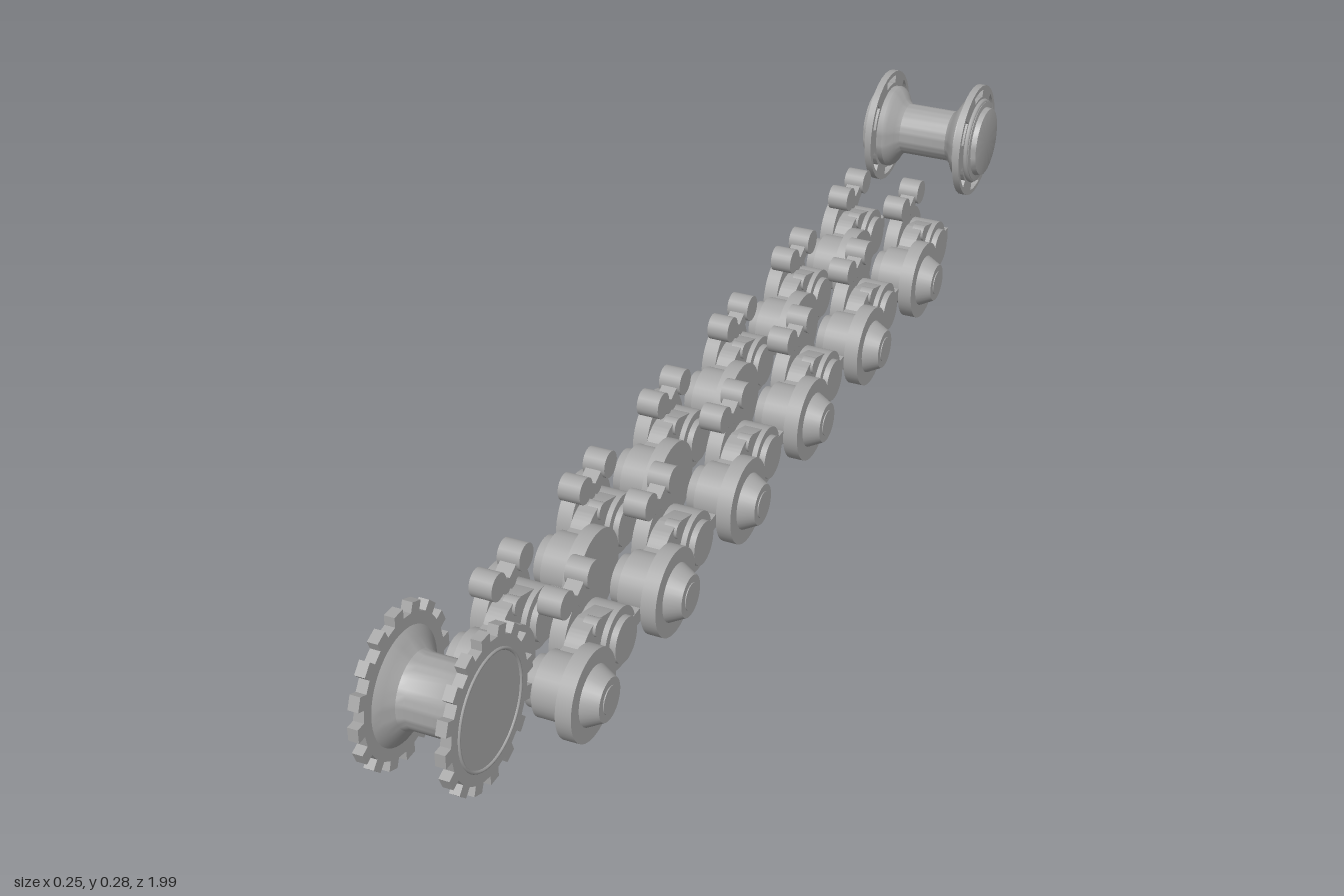
import * as THREE from 'three';
import { toCreasedNormals } from 'three/addons/utils/BufferGeometryUtils.js';

const steel = new THREE.MeshStandardMaterial({ color: 0xa6a6a6 });
steel.name = 'grey steel';

function add(parent, name, geometry, x = 0, y = 0, z = 0) {
  const mesh = new THREE.Mesh(geometry, steel);
  mesh.name = name;
  mesh.position.set(x, y, z);
  parent.add(mesh);
  return mesh;
}

// Cylinder lying along x between x0 and x1
function axle(parent, name, x0, x1, r0, r1, y, z, sides = 32) {
  const g = new THREE.CylinderGeometry(r1, r0, x1 - x0, sides).rotateZ(-Math.PI / 2);
  return add(parent, name, g, (x0 + x1) / 2, y, z);
}

// Turned solid around the x axis, points are [x, radius]
function turned(points) {
  const g = new THREE.LatheGeometry(points.map(([x, r]) => new THREE.Vector2(r, x)), 48);
  return toCreasedNormals(g.rotateZ(-Math.PI / 2), 0.6);
}

// Outline in (z, y) extruded along x, centred on x = 0
function plate(shape, width) {
  const g = new THREE.ExtrudeGeometry(shape, { depth: width, bevelEnabled: false, curveSegments: 16 });
  return toCreasedNormals(g.translate(0, 0, -width / 2).rotateY(-Math.PI / 2).scale(1, 1, 1), 0.6);
}

// Closed toothed outline with blocky teeth
function toothedShape(teeth, root, tip) {
  const shape = new THREE.Shape();
  const step = (Math.PI * 2) / teeth;
  for (let i = 0; i < teeth; i++) {
    const profile = [[-0.27, root], [-0.23, tip], [0.23, tip], [0.27, root]];
    profile.forEach(([t, r], j) => {
      const a = (i + t) * step;
      const p = [Math.cos(a) * r, Math.sin(a) * r];
      if (i + j === 0) shape.moveTo(...p); else shape.lineTo(...p);
    });
  }
  shape.closePath();
  return shape;
}

// Disc with six curved slots
function slottedShape(radius, inner, outer) {
  const shape = new THREE.Shape().absarc(0, 0, radius, 0, Math.PI * 2);
  for (let i = 0; i < 6; i++) {
    const a = Math.PI / 2 + (i * Math.PI) / 3, half = 0.25;
    const slot = new THREE.Path();
    slot.absarc(0, 0, outer, a - half, a + half, false);
    slot.absarc(0, 0, inner, a + half, a - half, true);
    slot.closePath();
    shape.holes.push(slot);
  }
  return shape;
}

function makeSprocket() {
  const g = new THREE.Group();
  g.name = 'driveSprocket';
  add(g, 'sprocketHub', turned([
    [-0.062, 0], [-0.062, 0.088], [-0.053, 0.08], [-0.045, 0.066], [-0.035, 0.053], [-0.025, 0.05],
    [0.025, 0.05], [0.035, 0.053], [0.045, 0.066], [0.053, 0.08], [0.062, 0.088], [0.062, 0]]));
  for (const s of [-1, 1]) {
    add(g, 'toothedDisc', plate(toothedShape(16, 0.096, 0.11), 0.015), s * 0.06);
    const ring = new THREE.TorusGeometry(0.078, 0.0025, 6, 48).rotateY(Math.PI / 2);
    add(g, 'sprocketFaceRing', ring, s * 0.0675);
  }
  g.position.set(-0.0125, 0.16, 0.89);
  return g;
}

function makeIdler() {
  const g = new THREE.Group();
  g.name = 'idlerWheel';
  // Stepped caps at both ends, flared into the narrow spool
  const half = [[0.108, 0], [0.108, 0.055], [0.107, 0.06], [0.098, 0.062], [0.097, 0.071],
    [0.067, 0.073], [0.06, 0.068], [0.051, 0.052], [0.043, 0.045]];
  const left = half.map(([x, r]) => [-x, r]);
  add(g, 'idlerSpool', turned([...left, ...half.slice().reverse()]));
  for (const s of [-1, 1]) {
    add(g, 'slottedFlange', plate(slottedShape(0.1, 0.079, 0.092), 0.012), s * 0.083);
    const ring = new THREE.TorusGeometry(0.071, 0.005, 8, 48).rotateY(Math.PI / 2);
    add(g, 'flangeRing', ring, s * 0.091);
  }
  g.position.set(-0.0155, 0.18, -0.89);
  return g;
}

// Suspension arm outline in (z, y), hugging both axles with a raised top
function armShape() {
  const s = new THREE.Shape();
  s.moveTo(0.062, 0.024);
  s.quadraticCurveTo(0.105, 0.03, 0.103, 0.068);
  s.quadraticCurveTo(0.098, 0.104, 0.066, 0.106);
  s.lineTo(0.03, 0.106);
  s.quadraticCurveTo(0.015, 0.127, -0.015, 0.126);
  s.lineTo(-0.055, 0.114);
  s.quadraticCurveTo(-0.1, 0.1, -0.099, 0.066);
  s.quadraticCurveTo(-0.098, 0.032, -0.062, 0.03);
  s.closePath();
  return s;
}

// Bogie: leading wheel on the +x side, trailing wheel on the -x side
function makeBogie(withHub) {
  const g = new THREE.Group();
  g.name = 'bogie';
  const y = 0.066, zf = 0.0625, zr = -0.0625;
  axle(g, 'leadingWheel', 0.024, 0.047, 0.065, 0.065, y, zf, 40);
  axle(g, 'leadingAxle', -0.036, 0.024, 0.036, 0.04, y, zf);
  axle(g, 'trailingWheel', -0.05, -0.027, 0.065, 0.065, y, zr, 40);
  axle(g, 'trailingAxle', -0.027, 0.033, 0.036, 0.033, y, zr);
  if (withHub) {
    axle(g, 'wheelHub', 0.047, 0.07, 0.043, 0.031, y, zf);
    axle(g, 'hubCap', 0.07, 0.0715, 0.02, 0.02, y, zf);
  }
  add(g, 'suspensionArm', plate(armShape(), 0.028), 0.002);
  axle(g, 'armBossFront', -0.02, 0.02, 0.046, 0.046, y, zf);
  axle(g, 'armBossRear', -0.022, 0.024, 0.046, 0.046, y, zr);
  axle(g, 'armTopPin', 0.0, 0.02, 0.013, 0.013, 0.116, -0.012, 16);
  add(g, 'rearLug', new THREE.BoxGeometry(0.03, 0.022, 0.02), 0.01, y, -0.112);
  return g;
}

// Two small return rollers with their slanting brackets
function makeRollers() {
  const g = new THREE.Group();
  g.name = 'returnRollers';
  for (const s of [-1, 1]) {
    axle(g, 'returnRoller', -0.017, 0.017, 0.02, 0.02, 0.179, s * 0.038, 24);
    const bracket = add(g, 'rollerBracket', new THREE.BoxGeometry(0.024, 0.02, 0.046), 0, 0.168, s * 0.02);
    bracket.rotation.x = -s * 0.5;
    axle(g, 'bracketFoot', -0.012, 0.012, 0.011, 0.011, 0.16, s * 0.008, 16);
  }
  return g;
}

export function createModel() {
  const model = new THREE.Group();
  model.name = 'runningGear';
  model.add(makeSprocket(), makeIdler());

  // Six pairs of bogies along the run
  for (let i = 0; i < 6; i++) {
    const z = 0.643 - i * 0.251;
    for (const side of [-1, 1]) {
      const bogie = makeBogie(side > 0);
      bogie.position.set(side > 0 ? 0.053 : -0.066, 0, z);
      const rollers = makeRollers();
      rollers.position.set(side > 0 ? 0.037 : -0.063, 0, z);
      model.add(bogie, rollers);
    }
  }
  return model;
}
